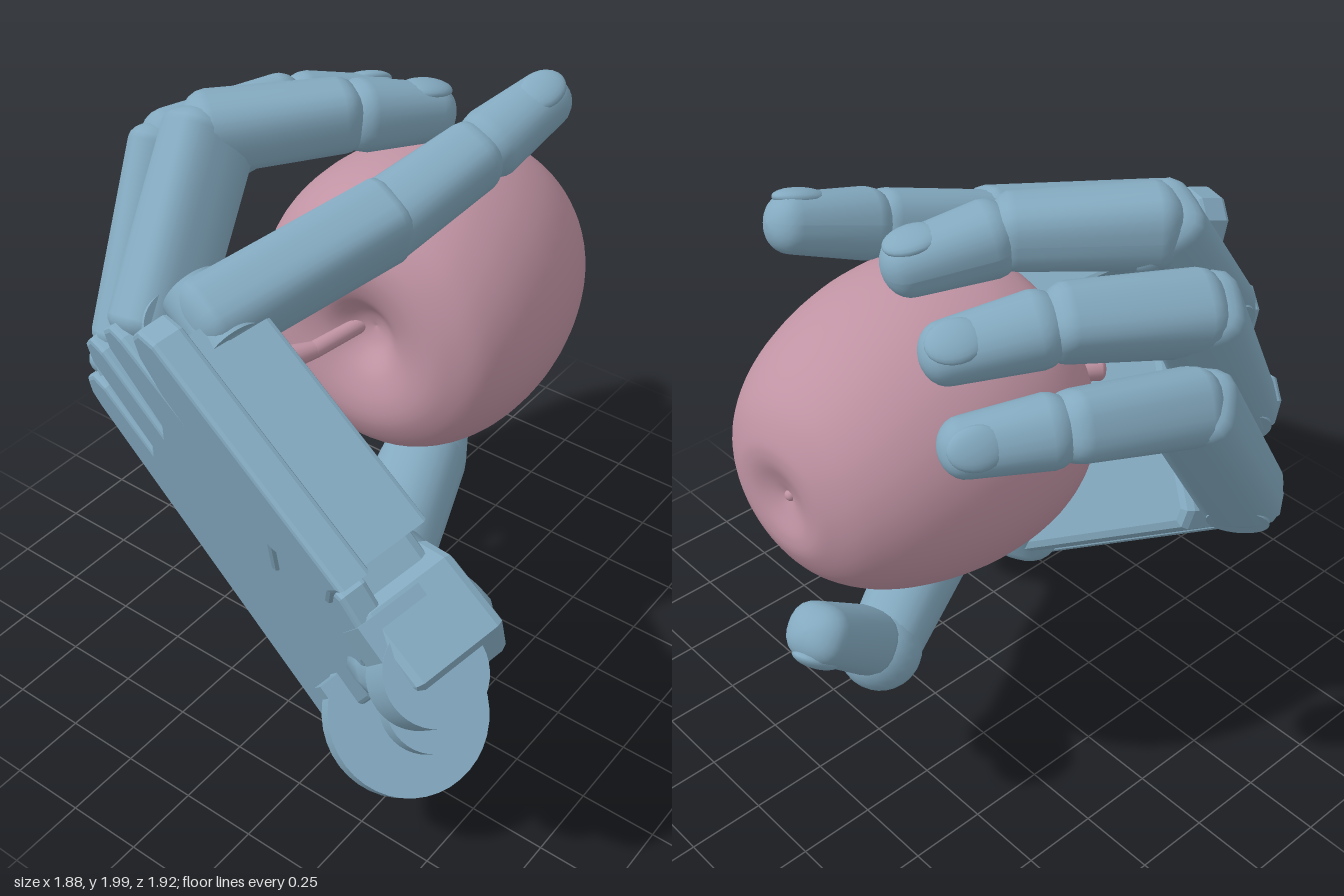
import * as THREE from 'three';

const handMat = new THREE.MeshStandardMaterial({ color: 0x84aac0 });
const appleMat = new THREE.MeshStandardMaterial({ color: 0xc093a3 });
const V = (a) => new THREE.Vector3(a[0], a[1], a[2]);
const APPLE = V([-0.04, 1.23, -0.37]);
const ACROSS = V([0.577, 0.739, 0.348]).normalize(); // little-finger side to index side
const BACK = V([-0.263, -0.234, 0.935]).normalize(); // out of the back of the hand
const ALONG = new THREE.Vector3().crossVectors(BACK, ACROSS).normalize(); // wrist to knuckles

function add(parent, geo, mat, name) {
  const mesh = new THREE.Mesh(geo, mat);
  mesh.name = name;
  parent.add(mesh);
  return mesh;
}

// Tapered, round-ended limb from a to b; power 2 is round, higher is boxier
function limb(a, b, r0, r1, power = 2, dome = 0.8, deep = 1) {
  const dir = b.clone().sub(a), len = dir.length();
  dir.normalize();
  const dorsal = a.clone().add(b).multiplyScalar(0.5).sub(APPLE);
  dorsal.addScaledVector(dir, -dorsal.dot(dir)).normalize();
  const side = new THREE.Vector3().crossVectors(dir, dorsal);
  const geo = new THREE.CapsuleGeometry(1, 1, 6, 24);
  const p = geo.attributes.position;
  for (let i = 0; i < p.count; i++) {
    const x = p.getX(i), y = p.getY(i), z = p.getZ(i);
    const core = THREE.MathUtils.clamp(y, -0.5, 0.5), t = core + 0.5;
    const r = THREE.MathUtils.lerp(r0, r1, t), h = Math.hypot(x, z);
    // the pole points lie on the axis and stay there
    const f = h < 1e-6 ? 0 : r * h / (Math.abs(x) ** power + Math.abs(z) ** power) ** (1 / power);
    p.setXYZ(i, x * f, t * len + (y - core) * r * dome, z * f * deep);
  }
  geo.computeVertexNormals();
  geo.applyMatrix4(new THREE.Matrix4().makeBasis(side, dir, dorsal).setPosition(a));
  return { geo, dir, dorsal, side };
}

// Fingernail sunk into the dorsal side of a last joint
function nail(parent, tip, s, r) {
  const geo = new THREE.SphereGeometry(1, 20, 12).scale(r * 0.7, r * 0.9, r * 0.3);
  const at = tip.clone().addScaledVector(s.dir, -r * 0.3).addScaledVector(s.dorsal, r * 0.8);
  geo.applyMatrix4(new THREE.Matrix4().makeBasis(s.side, s.dir, s.dorsal).setPosition(at));
  add(parent, geo, handMat, 'nail');
}

// Cylinder whose axis runs along a given direction
function pin(parent, at, r, len, axis, name) {
  const mesh = add(parent, new THREE.CylinderGeometry(r, r, len, 40), handMat, name);
  mesh.position.copy(at);
  mesh.quaternion.setFromUnitVectors(new THREE.Vector3(0, 1, 0), axis);
}

// Round wrist hinge on a tongue that reaches back into the palm
function lug(parent, at, r, len) {
  pin(parent, at, r, len, ACROSS, 'wristLug');
  const tongue = new THREE.BoxGeometry(len * 0.96, 0.22, r * 1.4);
  const mid = at.clone().addScaledVector(ALONG, 0.11);
  tongue.applyMatrix4(new THREE.Matrix4().makeBasis(ACROSS, ALONG, BACK).setPosition(mid));
  add(parent, tongue, handMat, 'wristTongue');
}

// Plate with a front outline, laid in the slanted plane of the back of the hand
function slab(parent, outline, top, bottom, name, bevel = 0.015) {
  const shape = new THREE.Shape(outline.map(([x, y]) => new THREE.Vector2(x, y)));
  const geo = new THREE.ExtrudeGeometry(shape, {
    depth: top - bottom - 2 * bevel, bevelThickness: bevel, bevelSize: bevel,
    bevelOffset: -bevel, bevelSegments: 2,
  });
  const o = new THREE.Vector3(0, 0, 0.47).addScaledVector(BACK, bottom + bevel);
  geo.applyMatrix4(new THREE.Matrix4().makeBasis(V([1, 0, 0.281]), V([0, 1, 0.25]), BACK).setPosition(o));
  add(parent, geo, handMat, name);
}

function finger(name, joints, r) {
  const g = new THREE.Group();
  g.name = name;
  const [k, p, d, t] = joints.map(V);
  const lower = limb(k, p, r, r, 3.4, 0.6, 1.12);
  add(g, lower.geo, handMat, 'lowerBone');
  add(g, limb(p, d, r, r * 0.9, 2.8, 0.75).geo, handMat, 'middleBone');
  // fingertip starts just past a narrow groove at the joint
  const start = d.clone().lerp(t, 0.22), end = t.clone().lerp(d, 0.14);
  const last = limb(start, end, r * 0.93, r * 0.76, 2.3, 0.85);
  add(g, last.geo, handMat, 'fingertip');
  nail(g, end, last, r * 0.8);
  pin(g, k.clone().addScaledVector(lower.dir, 0.02), r * 0.85, r * 1.9, lower.side, 'knuckleHinge');
  return g;
}

export function createModel() {
  const model = new THREE.Group();
  model.name = 'handHoldingApple';
  const hand = new THREE.Group();
  hand.name = 'hand';
  model.add(hand);

  // back plate with a rounded lobe over each knuckle
  slab(hand, [
    [-0.79, 0.86], [0.22, 0.05], [0.31, 0.01], [0.38, 0.03], [0.41, 0.08], [0.3, 0.2], [0.4, 0.36],
    [0.56, 0.62], [0.58, 0.82], [0.64, 0.98], [0.55, 1.1], [0.1, 1.17], [-0.1, 1.29], [-0.38, 1.45],
    [-0.44, 1.46], [-0.5, 1.41], [-0.5, 1.34], [-0.31, 1.14], [-0.33, 1.08], [-0.58, 1.26],
    [-0.65, 1.27], [-0.7, 1.22], [-0.7, 1.14], [-0.46, 0.93], [-0.48, 0.88], [-0.69, 1.02],
    [-0.76, 1.03], [-0.82, 0.98], [-0.83, 0.91],
  ], 0, -0.09, 'backPlate');

  // palm body under the plate
  slab(hand, [
    [-0.74, 0.83], [0.16, 0.11], [0.27, 0.18], [0.5, 0.52], [0.6, 0.76], [0.6, 0.98], [0.48, 1.08],
    [0.05, 1.13], [-0.22, 1.28], [-0.44, 1.25], [-0.62, 1.04], [-0.75, 0.9],
  ], -0.07, -0.3, 'palm', 0.03);

  // separate block behind the index finger, with its hooked wrist end
  slab(hand, [
    [-0.24, 1.49], [-0.24, 1.57], [-0.19, 1.62], [-0.11, 1.62], [0.59, 1.18], [0.53, 1.12],
    [0.5, 1.04], [0.24, 1.05], [0.22, 0.92], [0.1, 0.93], [0.1, 1.17], [-0.17, 1.38],
  ], 0.015, -0.09, 'indexLip');
  slab(hand, [
    [-0.16, 1.5], [-0.1, 1.59], [0.56, 1.175], [0.45, 1.02], [0.2, 1.02], [0.08, 1.18], [-0.14, 1.36],
  ], -0.05, -0.31, 'indexBlock');

  // heel of the palm: thumb side, then down to the little-finger side
  const root = V([0.2, 0.55, 0.32]);
  add(hand, limb(V([0.64, 0.8, 0.64]), root, 0.2, 0.19, 3, 0.6).geo, handMat, 'thumbHeel');
  add(hand, limb(root, V([0.2, 0.27, 0.37]), 0.18, 0.13, 2.6, 0.7).geo, handMat, 'palmHeel');

  // wrist block and a row of hinge lugs
  slab(hand, [
    [0.5, 0.75], [0.66, 0.68], [0.8, 0.8], [0.8, 0.92], [0.6, 1.04], [0.48, 1.0],
  ], -0.02, -0.34, 'wristBlock', 0.03);
  [
    [0.29, 0.14, 0.42, 0.15, 0.1], [0.43, 0.27, 0.52, 0.13, 0.09],
    [0.57, 0.43, 0.62, 0.25, 0.08], [0.73, 0.67, 0.73, 0.14, 0.08], [0.76, 0.86, 0.79, 0.15, 0.18],
  ].forEach(([x, y, z, r, len]) => lug(hand, V([x, y, z]), r, len));
  pin(hand, V([0.43, 0.27, 0.52]), 0.08, 0.28, ACROSS, 'wristAxle');

  // four fingers: knuckle, middle joint, end joint, tip
  const fingers = {
    littleFinger: [[[-0.74, 1.0, 0.37], [-0.81, 1.53, 0.01], [-0.71, 1.58, -0.33], [-0.53, 1.55, -0.63]], 0.112],
    ringFinger: [[[-0.6, 1.22, 0.46], [-0.69, 1.72, 0.14], [-0.53, 1.76, -0.2], [-0.34, 1.7, -0.53]], 0.117],
    middleFinger: [[[-0.38, 1.42, 0.58], [-0.46, 1.87, 0.21], [-0.22, 1.87, -0.1], [-0.06, 1.8, -0.42]], 0.118],
    indexFinger: [[[-0.11, 1.58, 0.64], [0.07, 1.69, 0.07], [0.16, 1.79, -0.25], [0.23, 1.89, -0.59]], 0.114],
  };
  for (const [name, [joints, r]] of Object.entries(fingers)) hand.add(finger(name, joints, r));

  // thumb reaching under the apple
  const thumb = new THREE.Group();
  thumb.name = 'thumb';
  hand.add(thumb);
  const path = [[0.18, 0.51, 0.25], [0.06, 0.64, -0.18], [-0.16, 0.57, -0.58]].map(V);
  add(thumb, limb(path[0], path[1], 0.165, 0.14, 2.2).geo, handMat, 'thumbBase');
  add(thumb, limb(path[1], path[2], 0.14, 0.115, 2.2).geo, handMat, 'thumbMiddle');
  const joint = V([-0.165, 0.56, -0.6]);
  add(thumb, new THREE.SphereGeometry(0.13, 24, 16), handMat, 'thumbJoint').position.copy(joint);
  const end = V([-0.22, 0.83, -0.86]);
  const last = limb(V([-0.18, 0.66, -0.68]), end, 0.115, 0.1, 2.5, 0.75, 0.9);
  add(thumb, last.geo, handMat, 'thumbTip');
  nail(thumb, end, last, 0.095);

  // apple turned around its core, dimpled at both ends, narrower at the far end
  const apple = new THREE.Group();
  apple.name = 'apple';
  const profile = new THREE.SplineCurve([
    [0, -0.44], [0.06, -0.46], [0.13, -0.48], [0.2, -0.47], [0.3, -0.41], [0.39, -0.29],
    [0.455, -0.12], [0.485, 0.06], [0.475, 0.24], [0.42, 0.38], [0.33, 0.445], [0.24, 0.46],
    [0.14, 0.43], [0.06, 0.37], [0, 0.35],
  ].map(([r, h]) => new THREE.Vector2(r, h))).getPoints(70);
  add(apple, new THREE.LatheGeometry(profile, 64), appleMat, 'fruit');
  add(apple, new THREE.SphereGeometry(0.018, 16, 10), appleMat, 'blossomEnd').position.y = -0.44;
  const axis = V([0.05, 0.02, 0.99]).normalize();
  apple.quaternion.setFromUnitVectors(new THREE.Vector3(0, 1, 0), axis);
  apple.position.copy(APPLE);
  model.add(apple);

  // stem flaring toward its end
  const stem = [[-0.08, 1.22, -0.02], [-0.12, 1.21, 0.17], [-0.18, 1.21, 0.3]].map(V);
  add(model, limb(stem[0], stem[1], 0.026, 0.028).geo, appleMat, 'stem');
  add(model, limb(stem[1], stem[2], 0.028, 0.046, 2, 0.5).geo, appleMat, 'stemEnd');
  return model;
}
